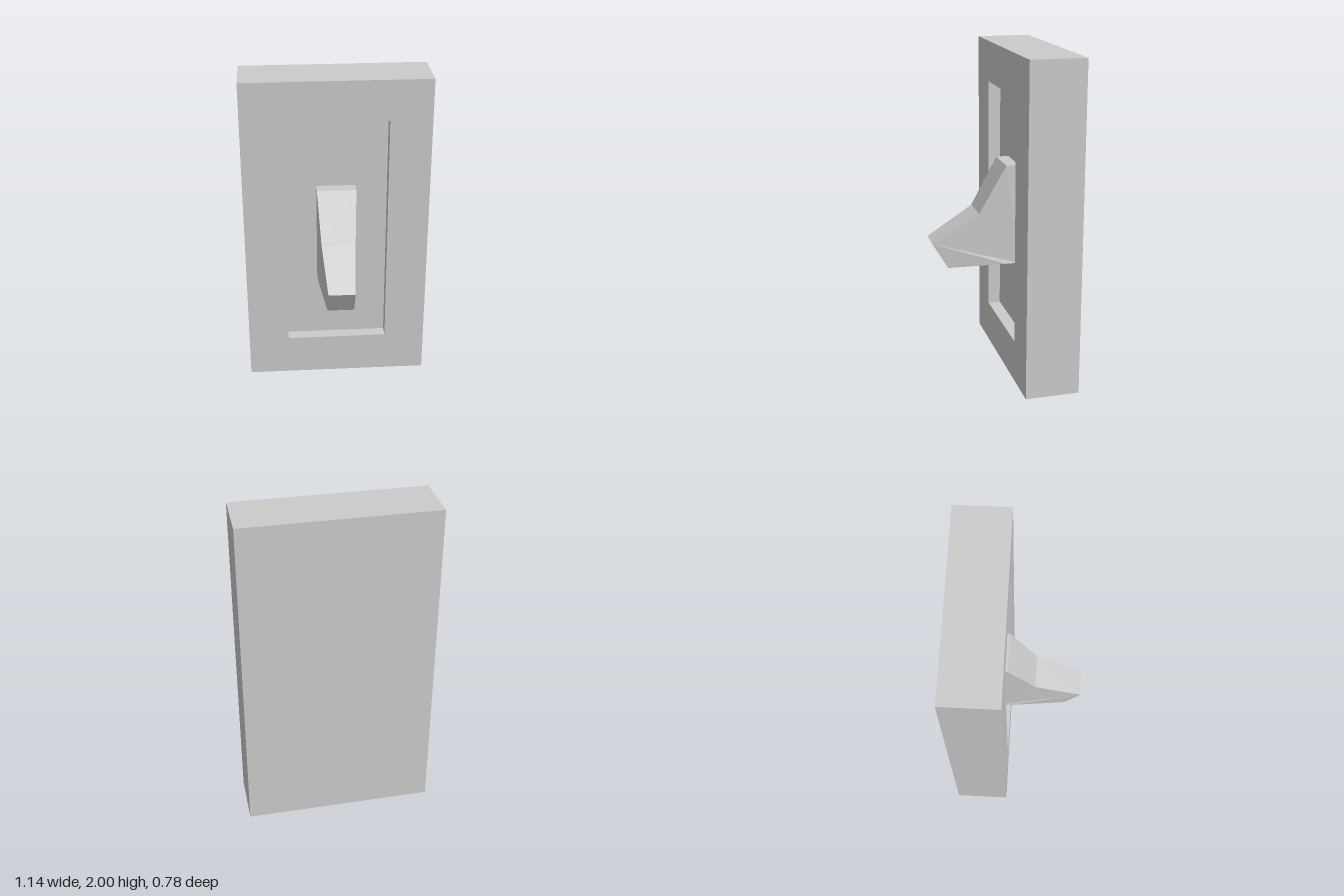
import * as THREE from 'three';

const material = new THREE.MeshStandardMaterial({ color: 0xcccccc, flatShading: true });
const BACK = -0.39, FRONT = -0.06, FLOOR = -0.137;

function addPart(parent, name, geometry) {
  const mesh = new THREE.Mesh(geometry, material);
  mesh.name = name;
  parent.add(mesh);
}

// Box between two depths without its front face; inward turns the faces to the inside
function openBox(width, y0, y1, z0, z1, inward = false) {
  const box = new THREE.BoxGeometry(width, y1 - y0, z1 - z0);
  const index = Array.from(box.index.array);
  index.splice(24, 6); // the +z face
  if (inward) index.reverse();
  box.setIndex(index);
  box.clearGroups();
  box.translate(0, (y0 + y1) / 2, (z0 + z1) / 2);
  box.computeVertexNormals();
  return box;
}

function rectangle(path, halfWidth, y0, y1) {
  return path.moveTo(-halfWidth, y0).lineTo(halfWidth, y0)
    .lineTo(halfWidth, y1).lineTo(-halfWidth, y1).closePath();
}

// Side profile of the lever, narrowing toward its tip: [z, y, half width]
function leverGeometry() {
  const profile = [
    [FLOOR, 0.692, 0.12], [FRONT, 0.692, 0.12], [0.295, 0.683, 0.08],
    [0.39, 0.845, 0.08], [0.105, 1.02, 0.103], [FRONT, 1.312, 0.12], [FLOOR, 1.312, 0.12],
  ];
  const shape = new THREE.Shape(profile.map(([z, y]) => new THREE.Vector2(z, y)));
  const geometry = new THREE.ExtrudeGeometry(shape, { depth: 2, bevelEnabled: false });
  geometry.translate(0, 0, -1).rotateY(-Math.PI / 2);
  const p = geometry.attributes.position;
  for (let i = 0; i < p.count; i++) {
    const corner = profile.find(([z, y]) => Math.hypot(z - p.getZ(i), y - p.getY(i)) < 0.002);
    p.setX(i, Math.sign(p.getX(i)) * corner[2]);
  }
  geometry.computeVertexNormals();
  return geometry;
}

export function createModel() {
  const model = new THREE.Group();
  model.name = 'wallSwitch';

  // Plate with a rectangular recess in its front
  const plate = new THREE.Group();
  plate.name = 'plate';
  model.add(plate);
  addPart(plate, 'plateBody', openBox(1.14, 0, 2, BACK, FRONT));
  const face = rectangle(new THREE.Shape(), 0.57, 0, 2);
  face.holes.push(rectangle(new THREE.Path(), 0.315, 0.26, 1.75));
  addPart(plate, 'plateFront', new THREE.ShapeGeometry(face).translate(0, 0, FRONT));
  addPart(plate, 'recess', openBox(0.63, 0.26, 1.75, FLOOR, FRONT, true));

  // Toggle lever, tipped down
  addPart(model, 'lever', leverGeometry());
  return model;
}
